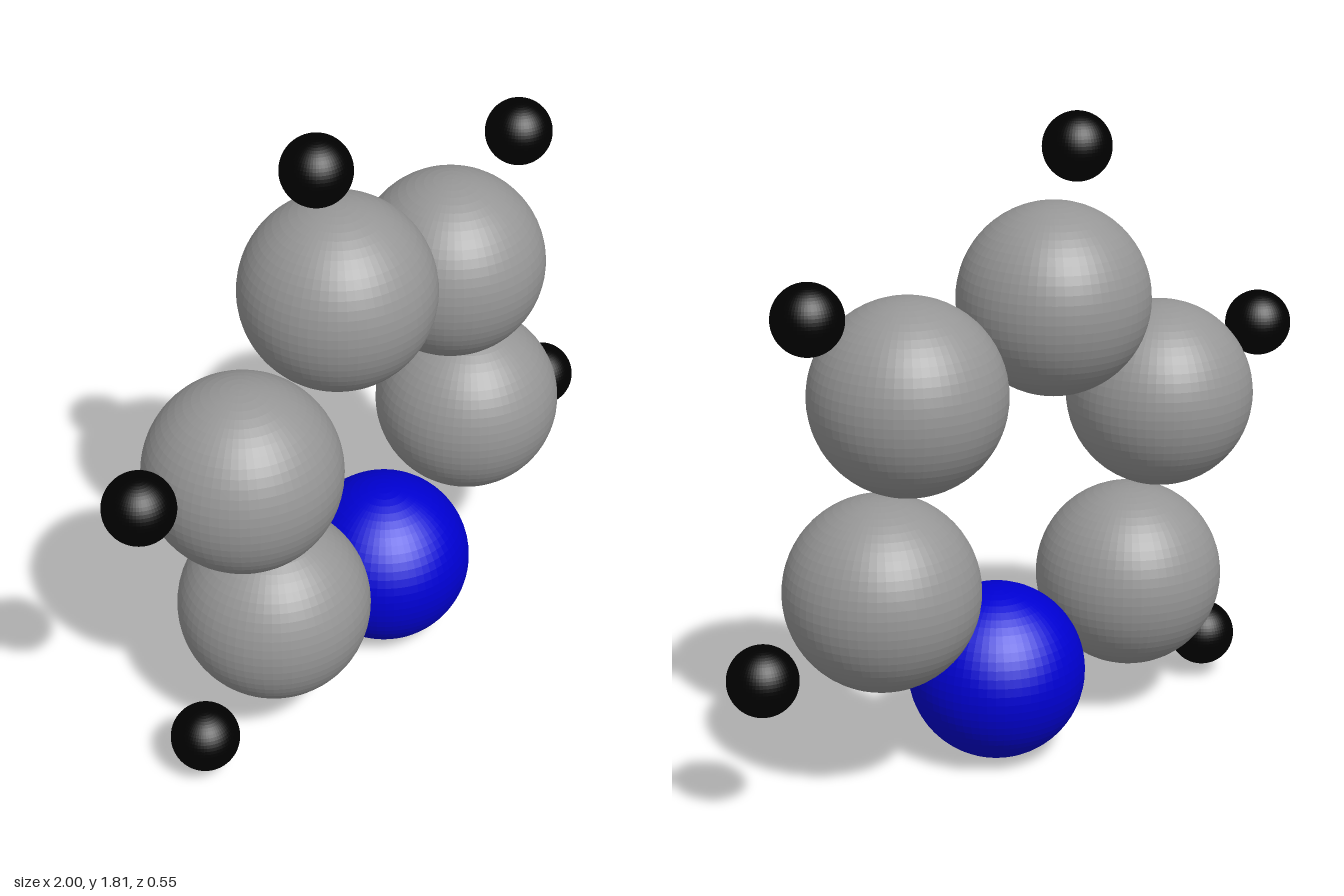
import * as THREE from 'three';

export function createModel() {
  const model = new THREE.Group();
  model.name = 'ringMolecule';

  // One shared, finely faceted ball and colour for each kind of atom
  const makeKind = (radius, color) => ({
    geometry: new THREE.SphereGeometry(radius, 64, 32),
    material: new THREE.MeshStandardMaterial({ color, flatShading: true }),
  });
  const carbon = makeKind(0.269, 0x969696);
  const nitrogen = makeKind(0.25, 0x0000d2);
  const hydrogen = makeKind(0.096, 0x000000);

  const addAtom = (name, kind, position) => {
    const atom = new THREE.Mesh(kind.geometry, kind.material);
    atom.name = name;
    atom.position.set(...position);
    model.add(atom);
  };

  // Nitrogen closes the six-membered ring at the bottom
  addAtom('nitrogenAtom', nitrogen, [0.107, 0.25, 0]);

  // Each ring carbon with the small hydrogen outside it
  const pairs = [
    [[0.508, 0.594, -0.008], [0.902, 0.45, -0.012]],
    [[0.411, 1.126, -0.008], [0.728, 1.399, -0.012]],
    [[-0.1, 1.3, 0], [-0.182, 1.712, 0]],
    [[-0.507, 0.943, 0.007], [-0.904, 1.074, 0.012]],
    [[-0.395, 0.414, 0.007], [-0.704, 0.133, 0.012]],
  ];
  pairs.forEach(([ring, outer], i) => {
    addAtom(`carbonAtom${i + 1}`, carbon, ring);
    addAtom(`hydrogenAtom${i + 1}`, hydrogen, outer);
  });

  return model;
}
